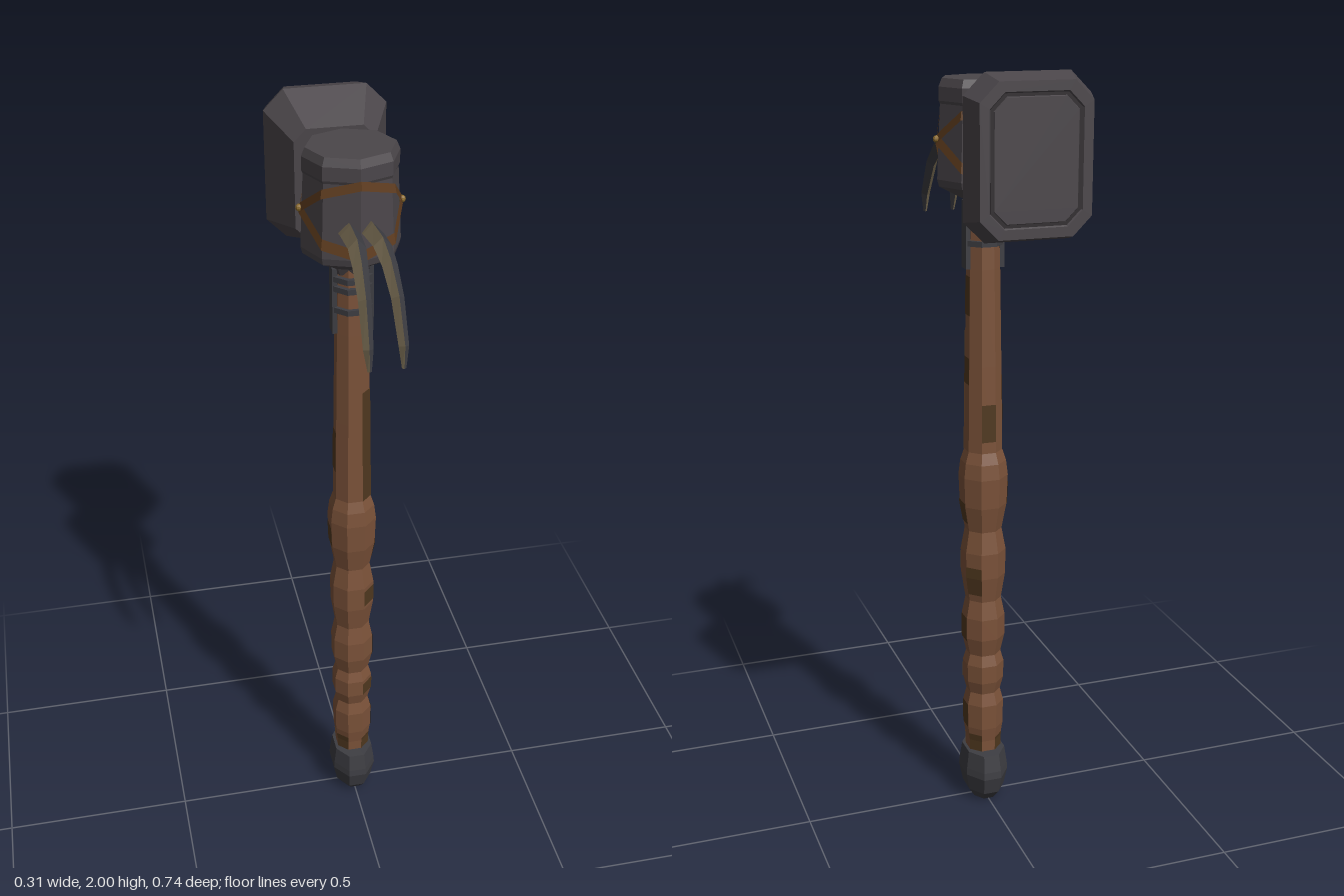
import * as THREE from 'three';

const paint = (name, color, extra = {}) =>
  Object.assign(new THREE.MeshStandardMaterial({ color, flatShading: true, ...extra }), { name });

// Skin a list of equal-length cross-sections, counter-clockwise seen from the first one.
// sideOf(j) picks the material index for the strip starting at corner j.
function loft(loops, sideOf = () => 0) {
  const n = loops[0].length, buckets = [[], []];
  const tri = (m, a, b, c) => [a, b, c].forEach(p => buckets[m].push(...p));
  for (let i = 0; i < loops.length - 1; i++) {
    for (let j = 0; j < n; j++) {
      const k = (j + 1) % n, m = sideOf(j);
      const a = loops[i][j], b = loops[i][k], c = loops[i + 1][j], d = loops[i + 1][k];
      tri(m, a, c, b);
      tri(m, b, c, d);
    }
  }
  const last = loops[loops.length - 1];
  for (let j = 1; j < n - 1; j++) {
    tri(0, loops[0][0], loops[0][j], loops[0][j + 1]);
    tri(0, last[0], last[j + 1], last[j]);
  }
  const g = new THREE.BufferGeometry();
  g.setAttribute('position', new THREE.Float32BufferAttribute(buckets.flat(), 3));
  const split = buckets[0].length / 3;
  g.addGroup(0, split, 0);
  g.addGroup(split, buckets[1].length / 3, 1);
  g.computeVertexNormals();
  return g;
}

// Rectangle with cut corners at depth z
function cutRect(z, w, h, c, cy = 1.81) {
  return [[w, c - h], [w, h - c], [w - c, h], [c - w, h], [-w, h - c], [-w, c - h], [c - w, -h], [w - c, -h]]
    .map(([x, y]) => [x, cy + y, z]);
}

const profile = pts => pts.map(([r, y]) => new THREE.Vector2(r, y));

// Radius and height of the wooden shaft with its waved grip
const SHAFT = [
  [0.047, 0.13], [0.048, 0.18], [0.054, 0.22], [0.055, 0.29], [0.046, 0.325], [0.055, 0.36], [0.056, 0.41],
  [0.047, 0.44], [0.058, 0.49], [0.058, 0.55], [0.048, 0.6], [0.059, 0.67], [0.06, 0.74], [0.049, 0.8],
  [0.062, 0.87], [0.065, 0.95], [0.06, 0.99], [0.05, 1.02], [0.047, 1.25], [0.043, 1.5], [0.038, 1.68],
];
function shaftRadius(y) {
  const i = Math.max(1, SHAFT.findIndex(p => p[1] >= y));
  const [r0, y0] = SHAFT[i - 1], [r1, y1] = SHAFT[i];
  return r0 + (r1 - r0) * (y - y0) / (y1 - y0);
}

export function createModel() {
  const model = new THREE.Group();
  model.name = 'warHammer';
  const iron = paint('iron', 0x4b464a);
  const darkIron = paint('darkIron', 0x3d3d42);
  const grooveIron = paint('grooveIron', 0x2f2b2e);
  const wood = paint('wood', 0x7b5239);
  const wornWood = paint('wornWood', 0x50381f, { side: THREE.DoubleSide });
  const leather = paint('leather', 0x5f3c1e, { side: THREE.DoubleSide });
  const bone = paint('tarnishedEdge', 0x746850);
  const brass = paint('brass', 0x8a6a2c);

  const add = (name, geo, mat, x = 0, y = 0, z = 0) => {
    const m = new THREE.Mesh(geo, mat);
    m.name = name;
    m.position.set(x, y, z);
    model.add(m);
    return m;
  };

  // Wooden shaft and worn patches, each lying on one facet
  const turn = Math.PI / 8;
  add('shaft', new THREE.LatheGeometry(profile(SHAFT), 8, turn), wood);
  const patches = [
    [0, 1.1, 1.34], [1, 1.2, 1.27], [0, 1.02, 1.11], [1, 1.38, 1.48], [3, 1.05, 1.15], [5, 1.1, 1.22],
    [1, 0.82, 0.88], [0, 0.68, 0.73], [2, 0.62, 0.7], [1, 0.48, 0.55], [0, 0.36, 0.4], [1, 0.22, 0.29],
    [2, 0.15, 0.2], [0, 0.15, 0.19], [4, 0.15, 0.19], [5, 0.87, 0.93], [6, 0.15, 0.2],
  ];
  for (const [facet, y0, y1] of patches) {
    const ys = [y0, ...SHAFT.map(p => p[1]).filter(y => y > y0 && y < y1), y1];
    const pts = profile(ys.map(y => [shaftRadius(y) + 0.0012, y]));
    add('wornPatch', new THREE.LatheGeometry(pts, 1, turn + facet * Math.PI / 4, Math.PI / 4), wornWood);
  }

  // Pommel, deeper than wide
  const pommel = [[0, 0], [0.045, 0], [0.07, 0.03], [0.083, 0.08], [0.081, 0.1], [0.072, 0.148], [0, 0.152]];
  add('pommel', new THREE.LatheGeometry(profile(pommel), 8, turn), darkIron).scale.set(0.78, 1, 1.08);

  // Collar: side straps and bands
  for (const s of [-1, 1]) {
    add('collarStrap', new THREE.BoxGeometry(0.012, 0.17, 0.034), darkIron, s * 0.045, 1.585, 0);
  }
  for (const y of [1.565, 1.62, 1.645]) {
    add('collarBand', new THREE.CylinderGeometry(0.051, 0.051, 0.014, 8), darkIron, 0, y, 0).rotation.y = turn;
  }

  // Socket holding the two heads
  const socket = [
    [0, 1.655], [0.042, 1.655], [0.05, 1.675], [0.108, 1.708], [0.112, 1.725], [0.104, 1.905],
    [0.107, 1.912], [0.107, 1.945], [0.099, 1.965], [0, 1.965],
  ];
  add('socket', new THREE.LatheGeometry(profile(socket), 8), iron, 0, 0, -0.008).scale.x = 1.08;

  // Crossed leather wraps, tilted front to back
  for (const s of [-1, 1]) {
    const g = new THREE.CylinderGeometry(0.113, 0.117, 0.024, 8, 1, true);
    const p = g.attributes.position;
    for (let i = 0; i < p.count; i++) p.setY(i, p.getY(i) + s * 0.75 * p.getZ(i));
    g.computeVertexNormals();
    add('leatherWrap', g, leather, 0, 1.822, -0.008).scale.x = 1.06;
    add('rivet', new THREE.SphereGeometry(0.009, 8, 6), brass, s * 0.122, 1.822, -0.008);
  }

  // Neck joining the socket to the striking head
  const neck = [[0.08, 0.05], [0.08, 0.135], [0.088, 0.137], [0.088, 0.146], [0.052, 0.168], [0.048, 0.2]];
  const neckMesh = add('neck', new THREE.LatheGeometry(profile(neck), 12), iron, 0, 1.815, 0);
  neckMesh.rotation.x = -Math.PI / 2;
  neckMesh.scale.set(1, 1, 0.85);

  // Striking head with a raised face inside a groove
  add('strikingHead', loft([
    cutRect(-0.187, 0.1, 0.14, 0.03, 1.8), cutRect(-0.305, 0.153, 0.19, 0.05),
    cutRect(-0.368, 0.135, 0.174, 0.045), cutRect(-0.368, 0.112, 0.151, 0.036),
    cutRect(-0.362, 0.108, 0.147, 0.034), cutRect(-0.362, 0.103, 0.142, 0.032),
    cutRect(-0.367, 0.1, 0.139, 0.03),
  ]), [iron, iron]);
  add('faceGroove', loft([
    cutRect(-0.3615, 0.109, 0.148, 0.034), cutRect(-0.364, 0.109, 0.148, 0.034),
  ]), [grooveIron, grooveIron]);

  // Pair of curved claws: [z, y, half thickness, half width, x], tip first
  const path = [
    [0.367, 1.585, 0.004, 0.005, 0.039], [0.357, 1.635, 0.014, 0.012, 0.04], [0.305, 1.727, 0.019, 0.015, 0.037],
    [0.245, 1.778, 0.021, 0.018, 0.033], [0.19, 1.8, 0.023, 0.021, 0.029], [0.11, 1.795, 0.025, 0.024, 0.026],
    [0.05, 1.785, 0.026, 0.024, 0.025],
  ];
  for (const s of [-1, 1]) {
    const loops = path.map(([z, y, t, w, x], i) => {
      const a = path[Math.min(i + 1, path.length - 1)], b = path[Math.max(i - 1, 0)];
      const len = Math.hypot(b[0] - a[0], b[1] - a[1]);
      const uy = t * (b[0] - a[0]) / len, uz = -t * (b[1] - a[1]) / len;
      const cx = s * x;
      return [[cx + w, y, z], [cx, y + uy, z + uz], [cx - w, y, z], [cx, y - uy, z - uz]];
    });
    add(s > 0 ? 'leftClaw' : 'rightClaw', loft(loops, j => (j === 1 || j === 2 ? 1 : 0)), [darkIron, bone]);
  }
  return model;
}
